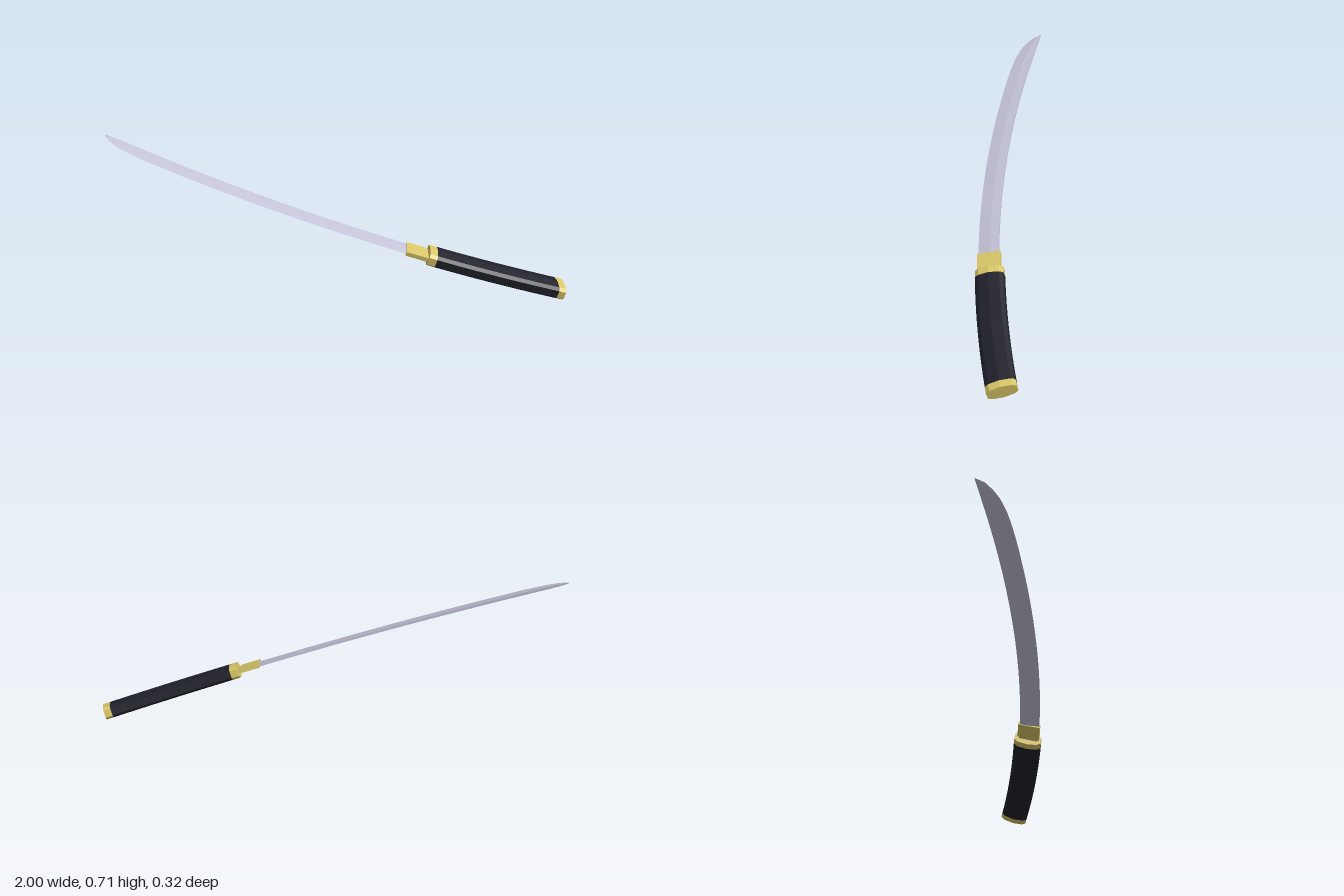
import * as THREE from 'three';
import { toCreasedNormals } from 'three/addons/utils/BufferGeometryUtils.js';

const material = (name, color) => {
  const m = new THREE.MeshStandardMaterial({ color });
  m.name = name;
  return m;
};

// Curved spine of the sword: a runs tip to pommel, b points to the cutting edge
const CURVE = 0.1073, PEAK = 0.385;
const spine = a => 0.0562 - CURVE * (a - PEAK) ** 2;
const slope = a => -2 * CURVE * (a - PEAK);

// Point at station a: w across the sword, h out of its plane
function place(a, w, h, square) {
  if (!square) return [a, h, spine(a) + w];
  const s = slope(a), len = Math.hypot(1, s);
  return [a - (s / len) * w, h, spine(a) + w / len];
}

// Skin closed rings of equal length and cap both ends
function loft(rings, crease) {
  const n = rings[0].length, last = (rings.length - 1) * n, index = [];
  for (let i = 0; i < rings.length - 1; i++) {
    for (let j = 0; j < n; j++) {
      const p = i * n + j, q = i * n + ((j + 1) % n);
      index.push(p, q, p + n, q, q + n, p + n);
    }
  }
  for (let j = 1; j < n - 1; j++) {
    index.push(0, j + 1, j, last, last + j, last + j + 1);
  }
  const g = new THREE.BufferGeometry();
  g.setAttribute('position', new THREE.Float32BufferAttribute(rings.flat(2), 3));
  g.setIndex(index);
  return toCreasedNormals(g, crease);
}

// Sweep a constant [w, h] section along the curve
function sweep(section, from, to, steps, offset) {
  const rings = [];
  for (let i = 0; i <= steps; i++) {
    const a = from + ((to - from) * i) / steps;
    rings.push(section.map(([w, h]) => place(a, w + offset, h, true)));
  }
  return loft(rings, 0.2);
}

export function createModel() {
  const steel = material('steel', 0xc3c1d6);
  const gold = material('gold', 0xd8c567);
  const black = material('black', 0x20202b);

  const sword = new THREE.Group();
  sword.name = 'sword';
  const add = (name, geometry, mat) => {
    const mesh = new THREE.Mesh(geometry, mat);
    mesh.name = name;
    sword.add(mesh);
  };

  // Blade: flat spine, shallow ridge, sharp edge, swept-up point
  const outline = [[-1.059, 0.0005], [-1.045, 0.036], [-1.015, 0.06], [-0.978, 0.077],
    [-0.92, 0.088], [-0.86, 0.092], [-0.78, 0.093]];
  for (let i = 1; i <= 20; i++) outline.push([-0.78 + i * 0.057, 0.093 - i * 0.0002]);
  const bladeRings = outline.map(([a, width]) => {
    const t = 0.0055 * Math.min(1, 0.25 + width * 9);
    return [[0, t], [0.42 * width, t * 1.1], [width, 0], [0.42 * width, -t * 1.1], [0, -t]]
      .map(([w, h]) => place(a, w, h, false));
  });
  add('blade', loft(bladeRings, 0.09), steel);

  // Collar and its narrower neck
  const slab = (w, h) => [[-w, h], [w, h], [w, -h], [-w, -h]];
  add('collar', sweep(slab(0.05, 0.009), 0.32, 0.405, 2, 0.042), gold);
  add('neck', sweep(slab(0.044, 0.007), 0.4, 0.425, 1, 0.042), gold);

  // Ten-sided grip with a metal band at each end
  const quarter = [[0, 0.034], [0.045, 0.0275], [0.061, 0.016]];
  const grip = [
    ...quarter,
    ...quarter.slice().reverse().map(([w, h]) => [w, -h]),
    ...quarter.slice(1).map(([w, h]) => [-w, -h]),
    ...quarter.slice(1).reverse().map(([w, h]) => [-w, h]),
  ];
  add('gripBand', sweep(grip, 0.418, 0.452, 1, 0.039), gold);
  add('grip', sweep(grip, 0.452, 1.005, 12, 0.039), black);
  add('pommel', sweep(grip, 1.005, 1.037, 1, 0.039), gold);

  // Tilt the sword into its resting pose
  const up = new THREE.Vector3(0.31, 1, 0.247).normalize();
  const along = new THREE.Vector3(1, -0.31, 0).normalize();
  const across = new THREE.Vector3().crossVectors(along, up);
  sword.quaternion.setFromRotationMatrix(new THREE.Matrix4().makeBasis(along, up, across));
  sword.position.y = 0.356;

  const model = new THREE.Group();
  model.add(sword);
  return model;
}
